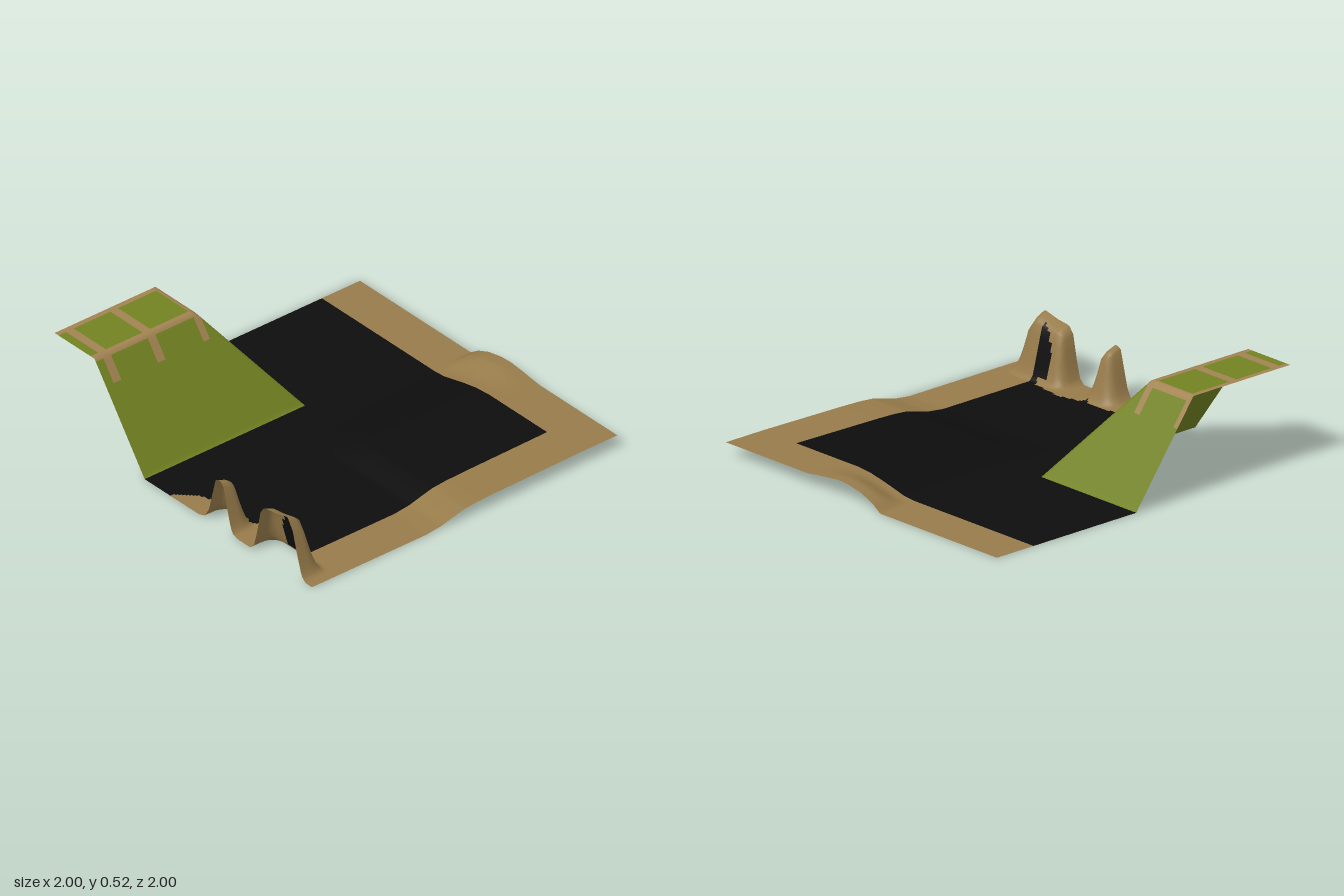
import * as THREE from 'three';

const material = (name, color) =>
  new THREE.MeshStandardMaterial({ name, color, side: THREE.DoubleSide });

// Reads a value off a short profile of [position, value] points
function profile(points, t) {
  if (t <= points[0][0]) return points[0][1];
  for (let i = 1; i < points.length; i++) {
    const [a, va] = points[i - 1], [b, vb] = points[i];
    if (t <= b) return va + (vb - va) * (t - a) / (b - a);
  }
  return points[points.length - 1][1];
}

// Low plateau rising towards the back left corner
const plateauX = [[-0.12, 0], [-0.05, 0.08], [0.1, 0.6], [0.2, 0.88], [0.3, 1]];
const plateauZ = [[-0.75, 0.07], [-0.2, 0.061], [-0.08, 0.057], [0, 0.05], [0.07, 0.033], [0.15, 0.012], [0.25, 0]];
const backEdge = [[-0.14, 0], [-0.08, 0.04], [0, 0.072], [0.1, 0.092], [0.17, 0.096], [0.25, 0.088], [0.4, 0.07]];

// Rock spires along the front edge
const spire = [[0.12, 0], [0.17, 0.015], [0.2, 0.07], [0.25, 0.265], [0.27, 0.28], [0.295, 0.278],
  [0.315, 0.25], [0.36, 0.07], [0.38, 0.015], [0.42, 0]];
const twinSpire = [[0.52, 0], [0.55, 0.03], [0.57, 0.1], [0.6, 0.25], [0.63, 0.29], [0.71, 0.3], [0.81, 0.325],
  [0.85, 0.26], [0.89, 0.12], [0.92, 0.025], [0.95, 0]];
const spireDepth = [[0.84, 0], [0.86, 0.06], [0.88, 0.3], [0.9, 0.55], [0.925, 0.86], [0.95, 0.93], [1, 1]];

function groundHeight(x, z) {
  const plateau = profile(plateauX, x) * profile(plateauZ, z);
  const back = THREE.MathUtils.smoothstep(-z, 0.78, 0.95);
  const rocks = (profile(spire, x) + profile(twinSpire, x)) * profile(spireDepth, z);
  return plateau + (profile(backEdge, x) - plateau) * back + rocks;
}

// Flat-topped mesa with two sloping sides
const mesaHeight = (x, z) =>
  THREE.MathUtils.clamp(Math.min(-0.3 - x, z + 0.05) * 1.346, 0, 0.525);

// Ragged edge of the sand in front
const sandEdge = [[-0.11, 1], [-0.06, 0.94], [0, 0.885], [0.1, 0.855], [0.2, 0.835], [0.32, 0.835], [0.34, 0.87],
  [0.37, 0.83], [0.5, 0.8], [0.6, 0.815], [0.7, 0.83], [0.71, 0.87], [0.75, 0.93]];

function isSand(x, z) {
  if (x > 0.75 || z < -0.755) return true;
  if (x > 0.65 && z > 0.865 && z < 0.9 + (x - 0.65) * 0.5) return false;
  return x > -0.11 && z > profile(sandEdge, x);
}

// Bands across and along the mesa top, running a little down the slopes
function isBand(x, z) {
  const across = x < -0.6 && [0.34, 0.635, 0.925].some(c => Math.abs(z - c) < 0.021);
  const along = z > 0.235 && (x < -0.97 || Math.abs(x + 0.7) < 0.021);
  return across || along;
}

// Height-field sheet whose cells take one of two materials
function sheet(name, [x0, x1, z0, z1], step, height, pickSecond, materials) {
  const nx = Math.round((x1 - x0) / step), nz = Math.round((z1 - z0) / step);
  const positions = [], normals = [], cells = [[], []];
  const e = 0.015, normal = new THREE.Vector3();
  for (let j = 0; j <= nz; j++) {
    for (let i = 0; i <= nx; i++) {
      const x = x0 + (x1 - x0) * i / nx, z = z0 + (z1 - z0) * j / nz;
      positions.push(x, height(x, z), z);
      normal.set(height(x - e, z) - height(x + e, z), 2 * e, height(x, z - e) - height(x, z + e)).normalize();
      normals.push(normal.x, normal.y, normal.z);
      if (i === nx || j === nz) continue;
      const a = j * (nx + 1) + i, b = a + 1, c = a + nx + 1, d = c + 1;
      const second = pickSecond(x + step / 2, z + step / 2) ? 1 : 0;
      cells[second].push(a, c, b, b, c, d);
    }
  }
  const geometry = new THREE.BufferGeometry();
  geometry.setAttribute('position', new THREE.Float32BufferAttribute(positions, 3));
  geometry.setAttribute('normal', new THREE.Float32BufferAttribute(normals, 3));
  geometry.setIndex(cells[0].concat(cells[1]));
  geometry.addGroup(0, cells[0].length, 0);
  geometry.addGroup(cells[0].length, cells[1].length, 1);
  const mesh = new THREE.Mesh(geometry, materials);
  mesh.name = name;
  return mesh;
}

export function createModel() {
  const darkGround = material('darkGround', 0x0d0d0d);
  const sand = material('sand', 0x977b4a);
  const grass = material('grass', 0x728222);
  const clay = material('clay', 0xa28352);

  const group = new THREE.Group();
  group.name = 'terrain';
  group.add(
    sheet('groundWithRocks', [-0.3, 1, -1, 1], 0.0125, groundHeight, isSand, [darkGround, sand]),
    sheet('backGround', [-1, -0.3, -1, -0.05], 0.0125, groundHeight, isSand, [darkGround, sand]),
    sheet('mesa', [-1, -0.3, -0.05, 1], 0.01, mesaHeight, isBand, [grass, clay])
  );
  return group;
}
